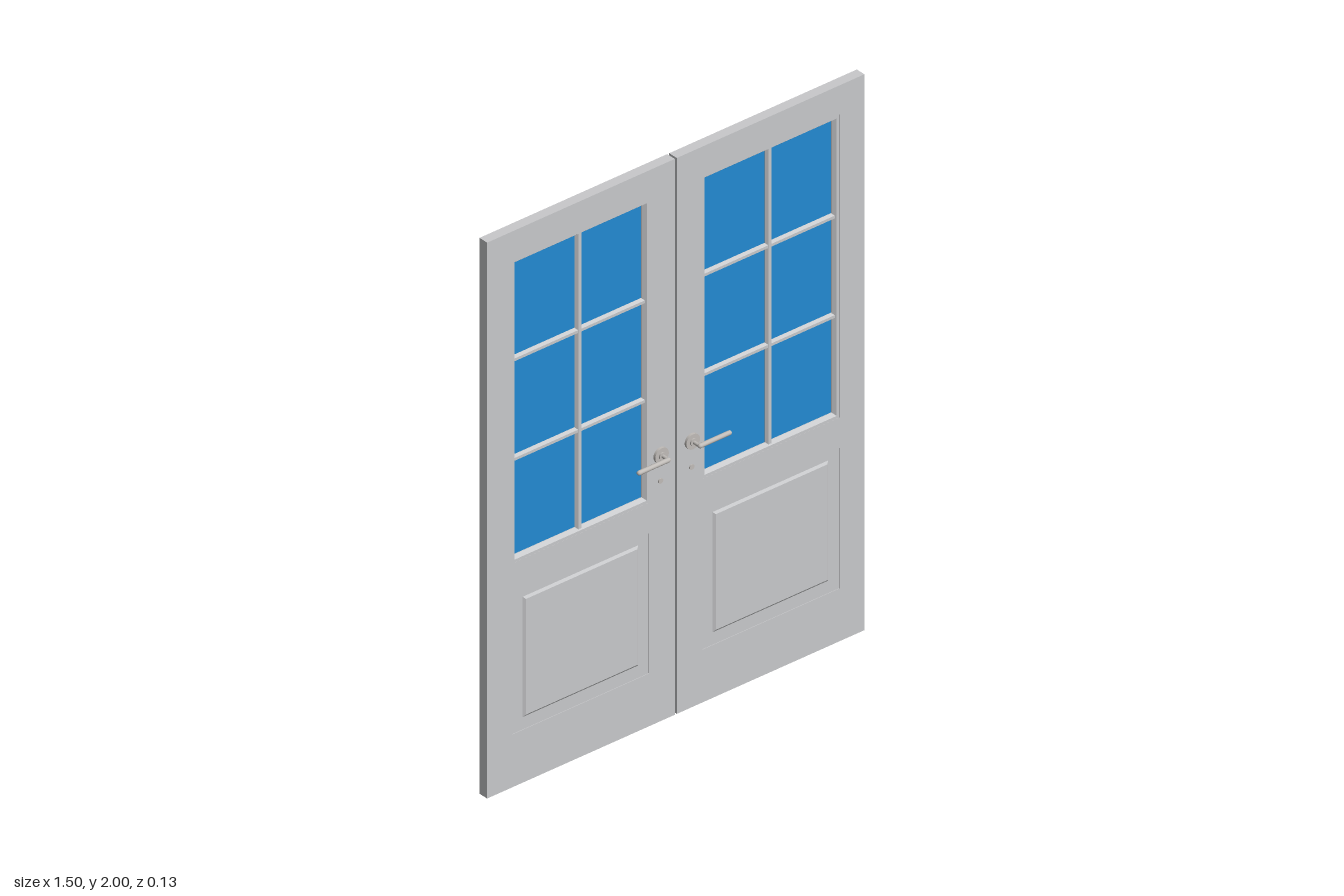
import * as THREE from 'three';

const mat = (name, color) => {
  const m = new THREE.MeshStandardMaterial({ color });
  m.name = name;
  return m;
};

// Rectangle outline, used for plates and for holes
function rect(Type, x0, x1, y0, y1) {
  const p = new Type();
  p.moveTo(x0, y0);
  p.lineTo(x1, y0);
  p.lineTo(x1, y1);
  p.lineTo(x0, y1);
  p.closePath();
  return p;
}

export function createModel() {
  const paint = mat('greyPaint', 0xc8c9cb);
  const glass = mat('blueGlass', 0x238ad2);
  const metal = mat('handleMetal', 0xc0bcb8);
  const HALF = 0.018; // half the door thickness

  function add(parent, name, geometry, material) {
    const m = new THREE.Mesh(geometry, material);
    m.name = name;
    parent.add(m);
    return m;
  }

  // Box given by its edges, centred on z = 0
  function slab(parent, name, x0, x1, y0, y1, half, material = paint) {
    const m = add(parent, name, new THREE.BoxGeometry(x1 - x0, y1 - y0, 2 * half), material);
    m.position.set((x0 + x1) / 2, (y0 + y1) / 2, 0);
  }

  // Plate with chamfered edges on both faces; an optional hole is chamfered too
  function chamfered(parent, name, [x0, x1, y0, y1], half, bevel, rise, hole) {
    const b = hole ? 0 : bevel;
    const shape = rect(THREE.Shape, x0 + b, x1 - b, y0 + b, y1 - b);
    if (hole) shape.holes.push(rect(THREE.Path, hole[0] - bevel, hole[1] + bevel, hole[2] - bevel, hole[3] + bevel));
    const depth = 2 * (half - rise);
    const geo = new THREE.ExtrudeGeometry(shape, {
      depth, bevelEnabled: true, bevelSize: bevel, bevelThickness: rise, bevelSegments: 1, steps: 1,
    });
    geo.translate(0, 0, -depth / 2);
    add(parent, name, geo, paint);
  }

  // Lever, rose and keyhole cover for one face; s = side of door, f = front or back
  function handle(s, f) {
    const g = new THREE.Group();
    g.name = 'handle';
    const disc = (name, r, y, z0, z1) => {
      const m = add(g, name, new THREE.CylinderGeometry(r, r, z1 - z0, 24), metal);
      m.rotation.x = Math.PI / 2;
      m.position.set(s * 0.062, y, f * (z0 + z1) / 2);
    };
    disc('rose', 0.027, 0.96, 0.016, 0.027);
    disc('roseCollar', 0.013, 0.96, 0.025, 0.032);
    disc('neck', 0.006, 0.96, 0.02, 0.058);
    disc('keyholeCover', 0.009, 0.866, 0.016, 0.022);
    const lever = add(g, 'lever', new THREE.CapsuleGeometry(0.008, 0.116, 6, 16), metal);
    lever.rotation.z = Math.PI / 2;
    lever.position.set(s * 0.121, 0.96, f * 0.058);
    return g;
  }

  function leaf(s) {
    const g = new THREE.Group();
    g.name = s > 0 ? 'leftDoor' : 'rightDoor';
    // Mirror a span across the middle
    const span = (a, b) => (s > 0 ? [a, b] : [-b, -a]);

    // Frame
    slab(g, 'outerStile', ...span(0.65, 0.75), 0, 2, HALF);
    slab(g, 'innerStile', ...span(0.004, 0.106), 0, 2, HALF);
    for (const [name, y0, y1] of [['bottomRail', 0, 0.19], ['middleRail', 0.695, 0.805], ['topRail', 1.895, 2]])
      slab(g, name, ...span(0.106, 0.65), y0, y1, HALF);

    // Lower panel with a raised centre
    slab(g, 'panelField', ...span(0.1, 0.655), 0.185, 0.7, 0.016);
    chamfered(g, 'raisedPanel', [...span(0.145, 0.61), 0.232, 0.67], 0.022, 0.011, 0.008);

    // Window with sloped beading and glazing bars
    const win = [...span(0.115, 0.64), 0.815, 1.885];
    slab(g, 'glass', ...span(0.11, 0.645), 0.81, 1.89, 0.003, glass);
    // The hole helper widens by the slope, so the throat is passed pre-shrunk
    const throat = [win[0] + 0.01, win[1] - 0.01, win[2] + 0.01, win[3] - 0.01];
    chamfered(g, 'windowBeading', [...span(0.12 - 0.025, 0.635 + 0.025), 0.795, 1.905].map((v, i) => v + (i % 2 ? -0.008 : 0.008)),
      0.0175, 0.01, 0.012, throat);
    const midX = s * 0.378;
    chamfered(g, 'verticalBar', [midX - 0.013, midX + 0.013, 0.81, 1.89], 0.0135, 0.007, 0.009);
    for (const y of [1.172, 1.53])
      chamfered(g, 'horizontalBar', [...span(0.108, 0.647), y - 0.012, y + 0.012], 0.013, 0.007, 0.009);

    for (const f of [1, -1]) g.add(handle(s, f));
    return g;
  }

  const model = new THREE.Group();
  model.name = 'doubleDoor';
  model.add(leaf(1), leaf(-1));
  return model;
}
